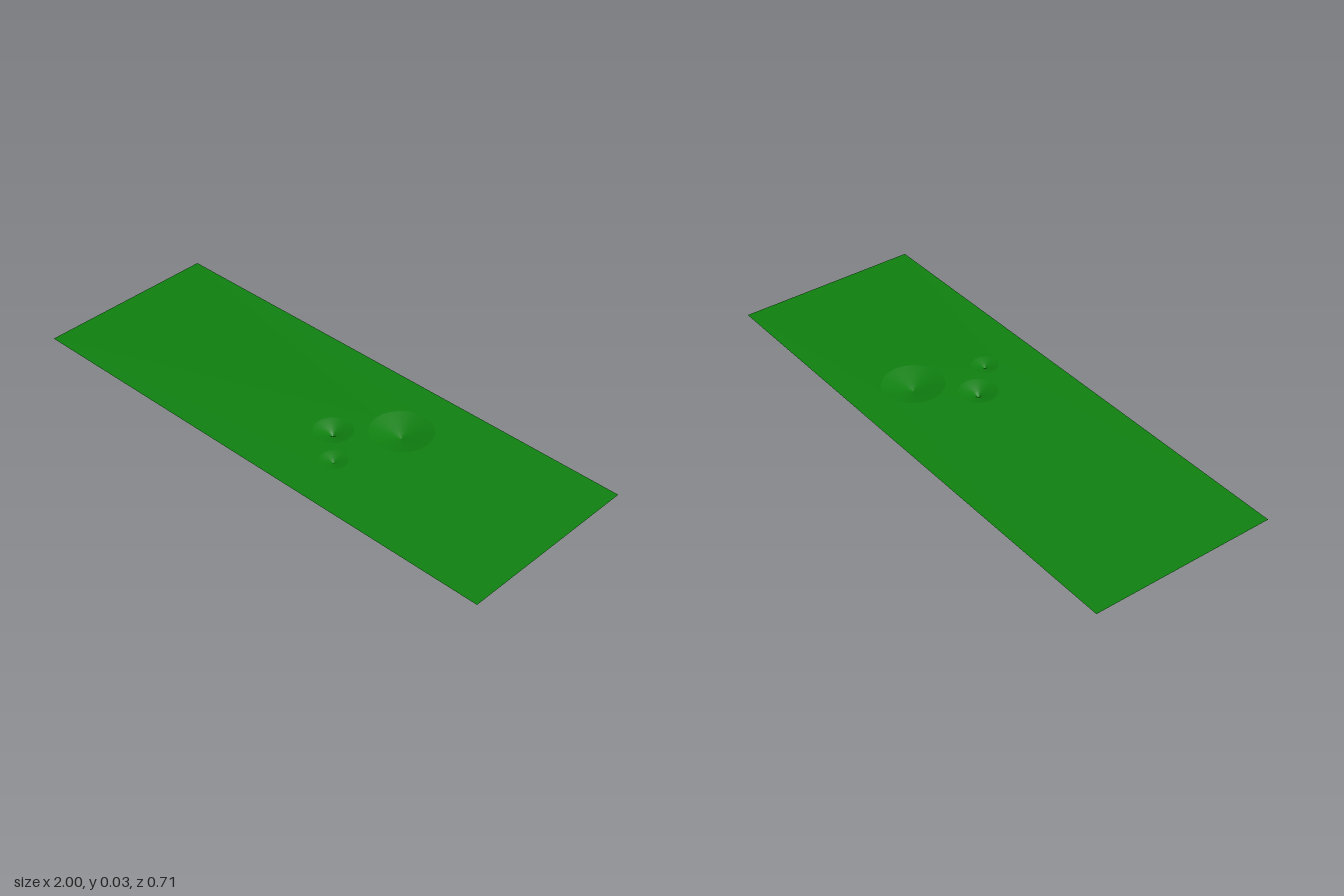
import * as THREE from 'three';

const TOP = 0.033; // height of the flat sheet
const SIDES = 32;

// Each pit: centre, rim radius, radius and height of the inner break, height of the tip
const PITS = [
  { name: 'largePit', x: 0.275, z: -0.117, rim: 0.113, inner: 0.028, innerY: 0.011, tipY: 0 },
  { name: 'mediumPit', x: 0.104, z: 0.04, rim: 0.071, inner: 0.019, innerY: 0.02, tipY: 0.005 },
  { name: 'smallPit', x: 0.215, z: 0.153, rim: 0.05, inner: 0.0145, innerY: 0.026, tipY: 0.017 },
];

export function createModel() {
  const group = new THREE.Group();
  const green = new THREE.MeshStandardMaterial({ color: 0x0f8010, side: THREE.DoubleSide });

  const add = (name, geometry) => {
    const mesh = new THREE.Mesh(geometry, green);
    mesh.name = name;
    group.add(mesh);
    return mesh;
  };

  // Flat sheet with a round opening for each pit
  const outline = new THREE.Shape([
    new THREE.Vector2(-1, -0.355),
    new THREE.Vector2(1, -0.355),
    new THREE.Vector2(1, 0.355),
    new THREE.Vector2(-1, 0.355),
  ]);
  for (const pit of PITS) {
    const rim = [];
    for (let i = 0; i < SIDES; i++) {
      const a = (i / SIDES) * Math.PI * 2;
      rim.push(new THREE.Vector2(pit.x + pit.rim * Math.sin(a), -pit.z - pit.rim * Math.cos(a)));
    }
    outline.holes.push(new THREE.Path(rim));
  }
  const sheet = new THREE.ShapeGeometry(outline).rotateX(-Math.PI / 2);
  add('groundSheet', sheet).position.y = TOP;

  // Funnel-shaped pits, from rim down to tip so they face upward
  for (const pit of PITS) {
    const profile = [
      new THREE.Vector2(pit.rim, TOP),
      new THREE.Vector2(pit.inner, pit.innerY),
      new THREE.Vector2(0, pit.tipY),
    ];
    add(pit.name, new THREE.LatheGeometry(profile, SIDES)).position.set(pit.x, 0, pit.z);
  }

  return group;
}
